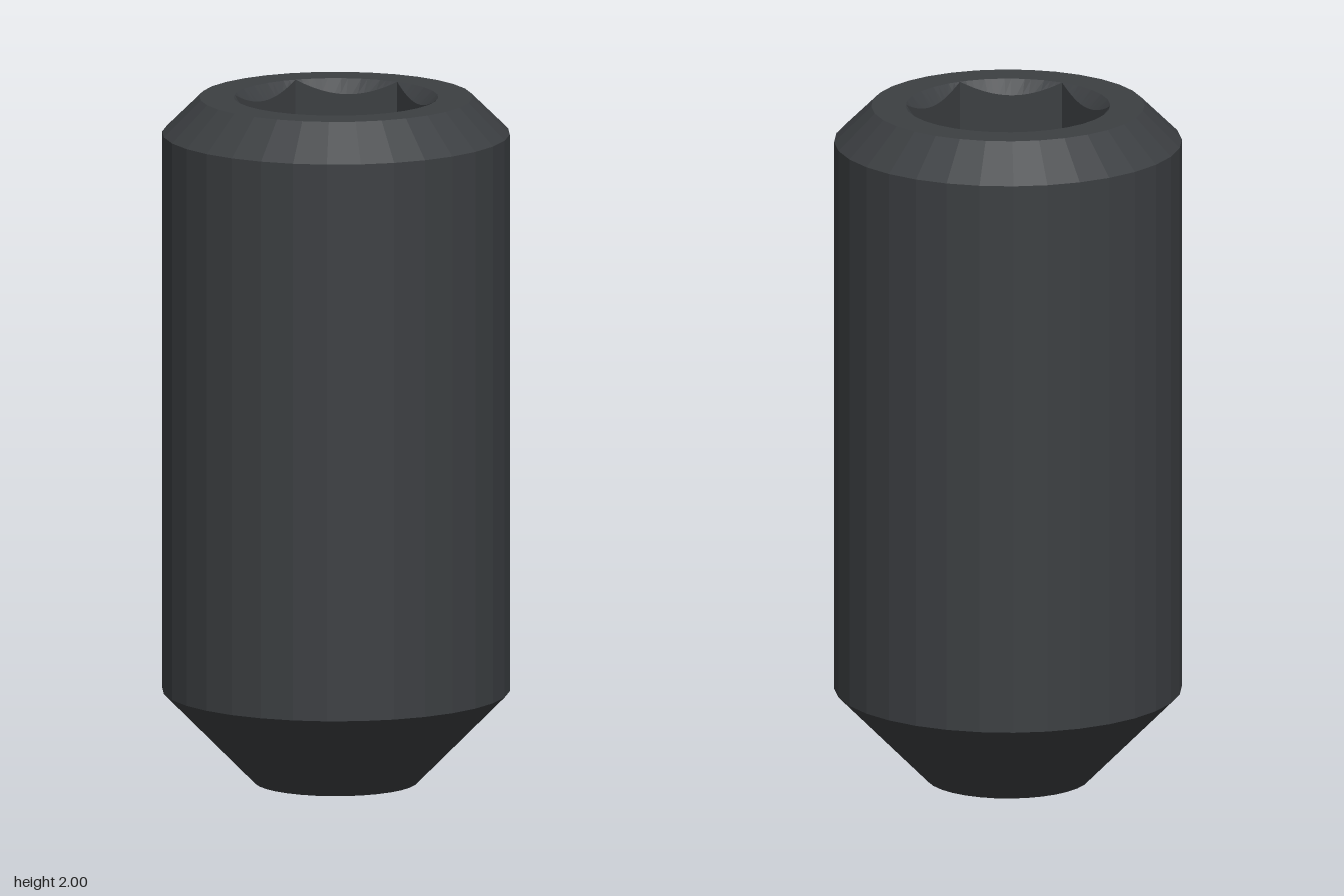
import * as THREE from 'three';

const STEPS = 96; // divisible by the 32 body facets and the 6 socket sides

// Radius at angle a of a regular polygon with n sides and corner radius r
function polygonRadius(r, n, a) {
  const sector = (2 * Math.PI) / n;
  return r * Math.cos(sector / 2) / Math.cos((a % sector) - sector / 2);
}

// A cross-section loop; height may depend on the local radius
function ring(r, y, sides = 32) {
  const points = [];
  for (let i = 0; i < STEPS; i++) {
    const a = (i / STEPS) * 2 * Math.PI;
    const d = polygonRadius(r, sides, a);
    const h = typeof y === 'function' ? y(d) : y;
    points.push(new THREE.Vector3(d * Math.cos(a), h, d * Math.sin(a)));
  }
  return points;
}

// Joins consecutive loops into a faceted skin
function skin(name, rings, material) {
  const pos = [];
  const tri = (a, b, c) => {
    if (a.distanceTo(b) < 1e-6 || b.distanceTo(c) < 1e-6 || c.distanceTo(a) < 1e-6) return;
    for (const p of [a, b, c]) pos.push(p.x, p.y, p.z);
  };
  for (let k = 0; k < rings.length - 1; k++) {
    const lo = rings[k], hi = rings[k + 1];
    for (let i = 0; i < STEPS; i++) {
      const j = (i + 1) % STEPS;
      tri(lo[i], hi[i], lo[j]);
      tri(lo[j], hi[i], hi[j]);
    }
  }
  const geometry = new THREE.BufferGeometry();
  geometry.setAttribute('position', new THREE.Float32BufferAttribute(pos, 3));
  geometry.computeVertexNormals();
  const mesh = new THREE.Mesh(geometry, material);
  mesh.name = name;
  return mesh;
}

export function createModel() {
  const group = new THREE.Group();
  group.name = 'setScrew';
  const steel = new THREE.MeshStandardMaterial({ color: 0x3c3f42, flatShading: true });

  const tip = ring(0.235, 0);
  const shoulder = ring(0.5, 0.268);
  const collar = ring(0.5, 1.895);
  const topEdge = ring(0.393, 2);
  const mouth = ring(0.294, 2);
  // Countersink cone cut by the six flats leaves scalloped edges
  const scallop = ring(0.294, (d) => 2 - (0.294 - d), 6);
  const socketBase = ring(0.294, 1.33, 6);

  group.add(
    skin('cupPoint', [ring(0, 0.136), tip], steel),
    skin('taperedTip', [tip, shoulder], steel),
    skin('barrel', [shoulder, collar], steel),
    skin('topChamfer', [collar, topEdge], steel),
    skin('topFace', [topEdge, mouth], steel),
    skin('socketCountersink', [mouth, scallop], steel),
    skin('hexSocketWalls', [scallop, socketBase], steel),
    skin('hexSocketFloor', [socketBase, ring(0, 1.33)], steel)
  );
  return group;
}
